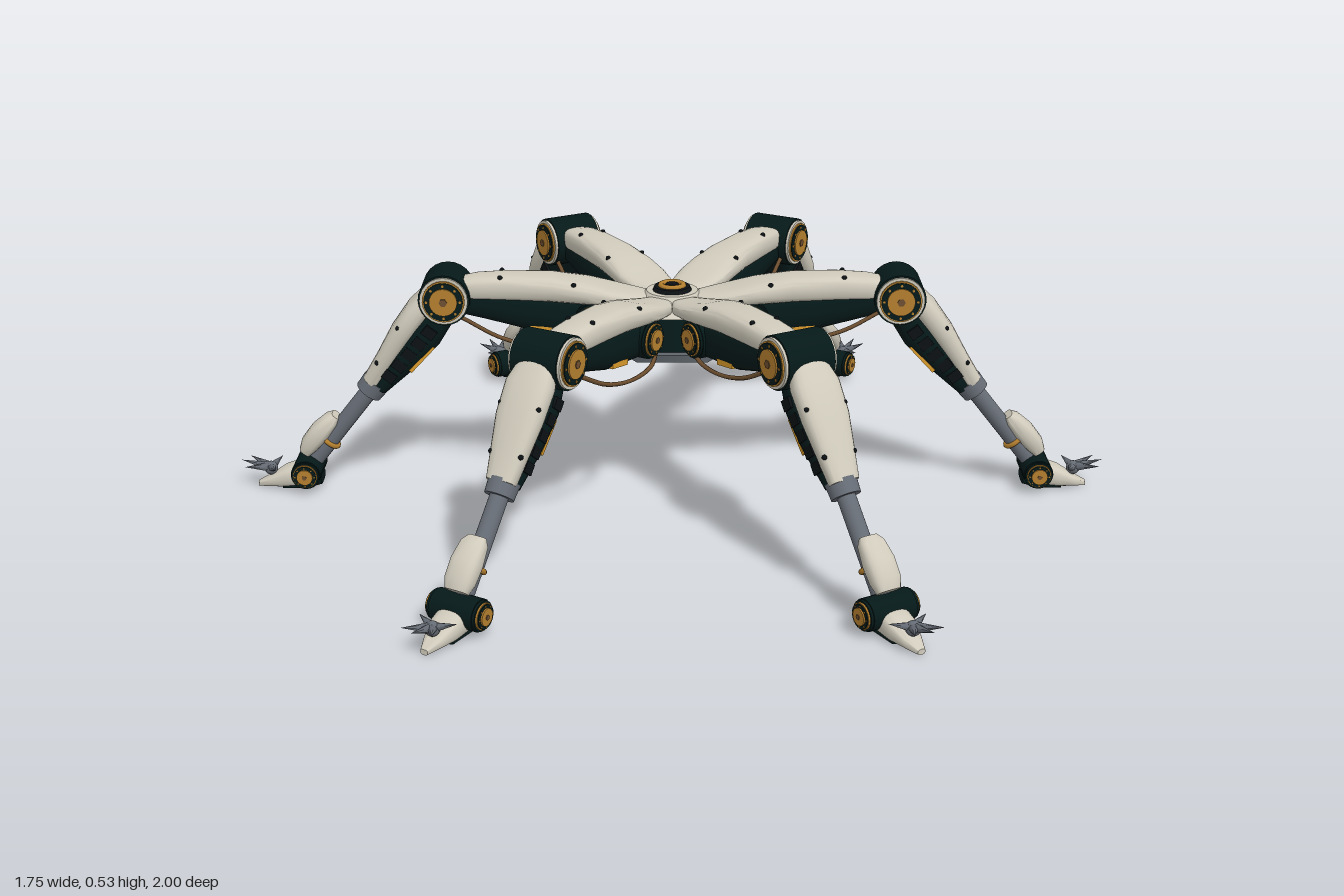
import * as THREE from 'three';
import { toCreasedNormals } from 'three/addons/utils/BufferGeometryUtils.js';

const mat = (name, color) => Object.assign(new THREE.MeshStandardMaterial({ color }), { name });
const cream = mat('cream shell', 0xcfcabb);
const dark = mat('dark green housing', 0x061919);
const black = mat('black recess', 0x0c1114);
const steel = mat('steel', 0x666c75);
const plate = mat('grey plate', 0x5f666c);
const gold = mat('gold', 0xb5802f);
const amber = mat('amber strip', 0xdc9c2c);
const brown = mat('brown cable', 0x6e4f30);

function add(parent, name, geometry, material, x = 0, y = 0, z = 0) {
  const m = new THREE.Mesh(geometry, material);
  m.name = name;
  m.position.set(x, y, z);
  parent.add(m);
  return m;
}

// Rounded shell through stations [z, centre y, half width, half height]
function loft(stations, power = 0.7, n = 20) {
  const pos = [], idx = [];
  const soft = (v) => Math.sign(v) * Math.abs(v) ** power;
  for (const [z, y, w, h] of stations)
    for (let j = 0; j < n; j++) {
      const a = (j / n) * Math.PI * 2;
      pos.push(w * soft(Math.cos(a)), y + h * soft(Math.sin(a)), z);
    }
  const last = stations.length - 1;
  for (let i = 0; i < last; i++)
    for (let j = 0; j < n; j++) {
      const a = i * n + j, b = i * n + ((j + 1) % n);
      idx.push(a, b, b + n, a, b + n, a + n);
    }
  const c0 = pos.length / 3;
  for (const s of [stations[0], stations[last]]) pos.push(0, s[1], s[0]);
  for (let j = 0; j < n; j++) {
    const k = (j + 1) % n;
    idx.push(c0, k, j, c0 + 1, last * n + j, last * n + k);
  }
  const g = new THREE.BufferGeometry();
  g.setAttribute('position', new THREE.Float32BufferAttribute(pos, 3));
  g.setIndex(idx);
  return toCreasedNormals(g, 0.7);
}

const axle = (r, len, n = 24) => new THREE.CylinderGeometry(r, r, len, n).rotateZ(Math.PI / 2);
const rod = (r0, r1, len, n = 16) => new THREE.CylinderGeometry(r1, r0, len, n).rotateX(Math.PI / 2);

// Pivot across the limb, with layered round caps on both sides
function joint(parent, name, y, z, radius, half, rim) {
  const g = new THREE.Group();
  g.name = name;
  g.position.set(0, y, z);
  parent.add(g);
  add(g, 'housing', axle(radius, half * 2), dark);
  for (const s of [-1, 1]) {
    add(g, 'capRim', axle(radius * 0.93, 0.006), rim, s * (half + 0.003));
    add(g, 'capBand', axle(radius * 0.82, 0.006), gold, s * (half + 0.007));
    add(g, 'capRecess', axle(radius * 0.76, 0.005), dark, s * (half + 0.01));
    add(g, 'capDisc', axle(radius * 0.54, 0.006), gold, s * (half + 0.013));
    add(g, 'capBolt', axle(radius * 0.16, 0.004, 6), brown, s * (half + 0.016));
    for (let k = 0; k < 8; k++) {
      const a = (k / 8) * Math.PI * 2;
      add(g, 'capStud', axle(radius * 0.055, 0.004, 6), gold,
        s * (half + 0.012), Math.cos(a) * radius * 0.65, Math.sin(a) * radius * 0.65);
    }
  }
}

function makeThigh(leg) {
  add(leg, 'thighShell', loft([
    [0.04, 0.458, 0.024, 0.014], [0.09, 0.463, 0.052, 0.016], [0.14, 0.47, 0.06, 0.02],
    [0.19, 0.478, 0.058, 0.025], [0.27, 0.487, 0.051, 0.029], [0.37, 0.489, 0.045, 0.03],
    [0.44, 0.487, 0.042, 0.028], [0.48, 0.483, 0.034, 0.025]], 0.62), cream);
  add(leg, 'thighUnderside', loft([
    [0.13, 0.415, 0.03, 0.03], [0.2, 0.423, 0.043, 0.045], [0.32, 0.435, 0.044, 0.047],
    [0.42, 0.452, 0.04, 0.038], [0.49, 0.46, 0.035, 0.03]]), dark);
  joint(leg, 'shoulder', 0.42, 0.175, 0.044, 0.048, dark);
  for (const s of [-1, 1]) {
    const strip = add(leg, 'thighStrip', new THREE.BoxGeometry(0.012, 0.013, 0.062), amber, s * 0.033, 0.397, 0.29);
    strip.rotation.x = -0.14;
    for (const [x, y, z] of [[0.03, 0.515, 0.385], [0.045, 0.502, 0.22]])
      add(leg, 'thighBolt', new THREE.SphereGeometry(0.006, 8, 6), black, s * x, y, z);
    // Sagging cable from shoulder to knee, looser on the left
    const spread = s > 0 ? 0.012 : 0;
    const path = new THREE.CatmullRomCurve3([[0.03, 0.4, 0.14], [0.05, 0.38, 0.2],
      [0.051, 0.374, 0.28], [0.048, 0.395, 0.38], [0.038, 0.44, 0.47]]
      .map(([x, y, z]) => new THREE.Vector3(s * (x + spread), y - spread, z)));
    add(leg, 'cable', new THREE.TubeGeometry(path, 24, 0.005, 6), brown);
  }
}

function makeShin(leg) {
  const shin = new THREE.Group();
  shin.name = 'shin';
  shin.position.set(0, 0.47, 0.51);
  shin.rotation.x = 0.9;
  leg.add(shin);
  add(shin, 'shinShell', loft([
    [0.02, 0.026, 0.042, 0.024], [0.07, 0.029, 0.055, 0.027], [0.14, 0.026, 0.053, 0.026],
    [0.21, 0.018, 0.043, 0.022], [0.275, 0.01, 0.033, 0.021]]), cream);
  add(shin, 'shinInner', loft([
    [0.03, -0.018, 0.038, 0.032], [0.1, -0.02, 0.047, 0.038], [0.18, -0.016, 0.042, 0.034],
    [0.275, -0.01, 0.03, 0.022]]), dark);
  for (let i = 0; i < 5; i++)
    for (const s of [-1, 1])
      add(shin, 'shinVent', new THREE.BoxGeometry(0.01, 0.03, 0.024), black,
        s * (0.045 - i * 0.0028), -0.02 + i * 0.002, 0.085 + i * 0.036);
  for (const s of [-1, 1]) {
    const strip = add(shin, 'shinStrip', new THREE.BoxGeometry(0.008, 0.008, 0.08), amber, s * 0.033, -0.046, 0.15);
    strip.rotation.x = -0.08;
    for (const [x, y, z] of [[0.046, 0.041, 0.12], [0.036, 0.029, 0.22]])
      add(shin, 'shinBolt', new THREE.SphereGeometry(0.006, 8, 6), black, s * x, y, z);
  }
  // Telescoping rod
  add(shin, 'collar', rod(0.034, 0.032, 0.034), steel, 0, 0, 0.285);
  add(shin, 'rod', rod(0.02, 0.02, 0.25), steel, 0, 0, 0.405);
  add(shin, 'rodRing', new THREE.TorusGeometry(0.022, 0.006, 8, 20), gold, 0, 0, 0.455);
  add(shin, 'cuff', loft([
    [0.395, 0.026, 0.02, 0.01], [0.41, 0.028, 0.029, 0.018], [0.45, 0.031, 0.034, 0.024],
    [0.49, 0.032, 0.033, 0.022], [0.512, 0.03, 0.026, 0.015]]), cream);
}

function makeFoot(leg) {
  joint(leg, 'ankle', 0.046, 0.846, 0.034, 0.052, dark);
  add(leg, 'footShell', loft([
    [0.82, 0.034, 0.026, 0.018], [0.86, 0.034, 0.036, 0.03], [0.9, 0.026, 0.033, 0.024],
    [0.935, 0.015, 0.022, 0.013], [0.965, 0.006, 0.009, 0.006]]), cream);
  add(leg, 'sole', loft([
    [0.815, 0.022, 0.03, 0.012], [0.85, 0.012, 0.034, 0.01], [0.905, 0.006, 0.028, 0.006]]), dark);
  add(leg, 'clawBase', new THREE.SphereGeometry(0.016, 12, 8), steel, 0, 0.044, 0.935);
  // Splayed claws
  const root = new THREE.Vector3(0, 0.046, 0.935);
  for (const [x, y, z] of [[0, 0.064, 1.002], [0.036, 0.06, 0.988], [-0.036, 0.06, 0.988],
    [0.046, 0.056, 0.915], [-0.046, 0.056, 0.915]]) {
    const dir = new THREE.Vector3(x, y, z).sub(root);
    const len = dir.length();
    const claw = add(leg, 'claw', new THREE.ConeGeometry(0.012, len, 6).translate(0, len / 2, 0), steel,
      root.x, root.y, root.z);
    claw.quaternion.setFromUnitVectors(new THREE.Vector3(0, 1, 0), dir.normalize());
  }
}

function makeHub() {
  const hub = new THREE.Group();
  hub.name = 'hub';
  const cyl = (name, r0, r1, y0, y1, m, n = 32) =>
    add(hub, name, new THREE.CylinderGeometry(r1, r0, y1 - y0, n), m, 0, (y0 + y1) / 2);
  cyl('bottomPlate', 0.158, 0.16, 0.353, 0.37, plate, 6);
  cyl('core', 0.14, 0.12, 0.37, 0.446, dark, 6);
  cyl('topShell', 0.122, 0.1, 0.446, 0.462, cream);
  cyl('topDisc', 0.072, 0.058, 0.462, 0.479, cream);
  cyl('turret', 0.044, 0.04, 0.479, 0.488, black);
  cyl('turretLens', 0.016, 0.014, 0.488, 0.493, black);
  add(hub, 'turretRing', new THREE.TorusGeometry(0.025, 0.007, 8, 32).rotateX(Math.PI / 2), gold, 0, 0.489);
  return hub;
}

export function createModel() {
  const model = new THREE.Group();
  model.name = 'sixLeggedWalker';
  model.add(makeHub());
  for (let i = 0; i < 6; i++) {
    const leg = new THREE.Group();
    leg.name = 'leg' + (i + 1);
    leg.rotation.y = (i * Math.PI) / 3;
    makeThigh(leg);
    joint(leg, 'knee', 0.47, 0.51, 0.058, 0.056, cream);
    makeShin(leg);
    makeFoot(leg);
    model.add(leg);
  }
  return model;
}
